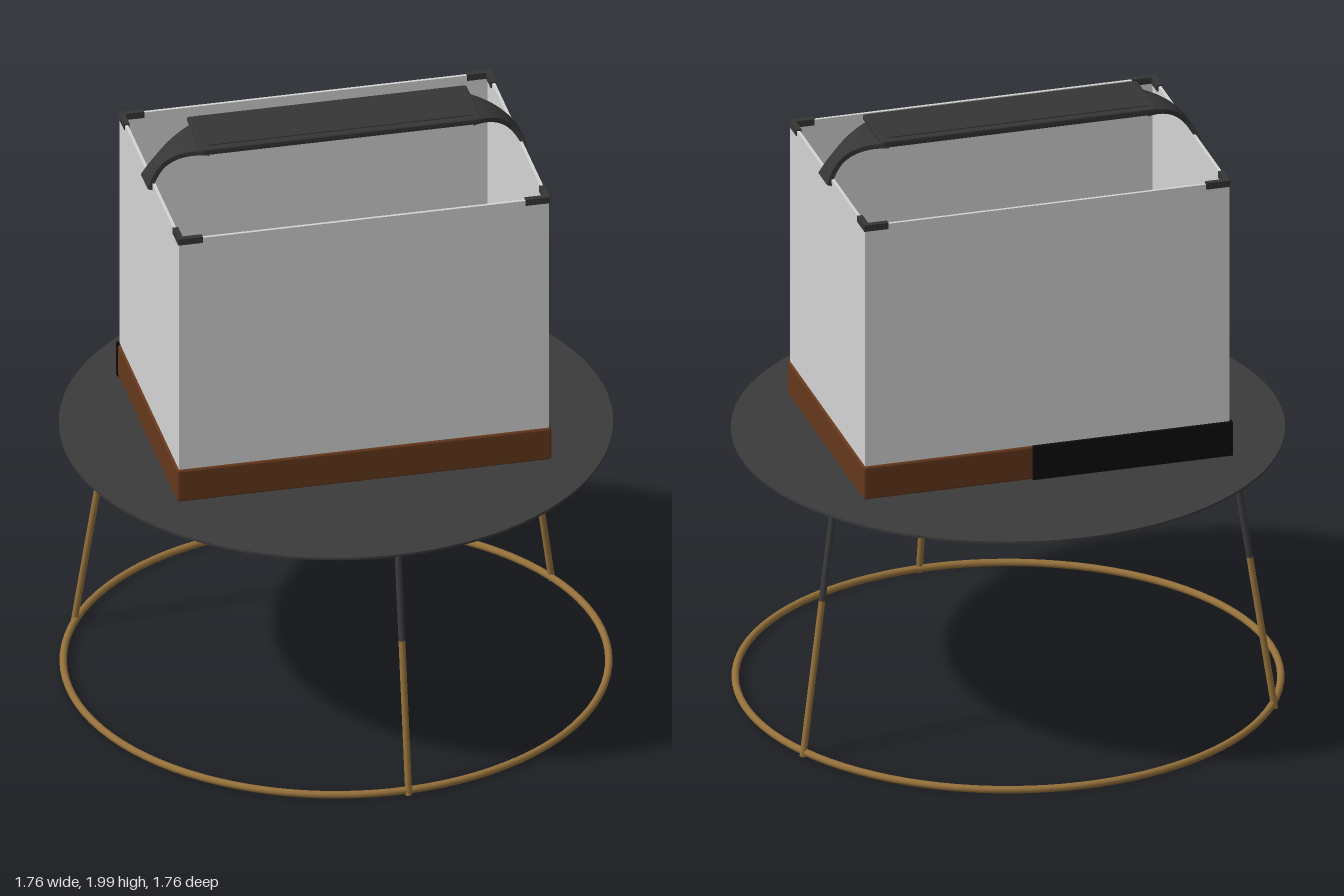
import * as THREE from 'three';
import { RoundedBoxGeometry } from 'three/addons/geometries/RoundedBoxGeometry.js';

const mat = (name, color, side = THREE.FrontSide) => {
  const m = new THREE.MeshStandardMaterial({ color, side });
  m.name = name;
  return m;
};

export function createModel() {
  const root = new THREE.Group();
  root.name = 'tankOnTable';
  const charcoal = mat('charcoal metal', 0x3b3b3b);
  const brass = mat('brass', 0x94703a);
  const wood = mat('brown wood', 0x65381c);
  const black = mat('black panel', 0x0c0c0c);
  const glass = mat('pale glass', 0xd4d4d4);
  const plastic = mat('dark plastic', 0x363636);
  const rock = mat('grey rock', 0x424445);
  const moss = mat('olive moss', 0x62663c);
  const stone = mat('dark stone', 0x303032);

  const add = (parent, name, geo, material, x = 0, y = 0, z = 0) => {
    const m = new THREE.Mesh(geo, material);
    m.name = name;
    m.position.set(x, y, z);
    parent.add(m);
    return m;
  };
  const box = (parent, name, w, h, d, material, x, y, z) =>
    add(parent, name, new THREE.BoxGeometry(w, h, d), material, x, y, z);

  // ---- Table: thin disc, two rings and three splayed two-tone legs
  const table = new THREE.Group();
  table.name = 'table';
  root.add(table);
  add(table, 'tableTop', new THREE.CylinderGeometry(0.88, 0.88, 0.008, 96), charcoal, 0, 0.889, 0);
  const ring = (name, radius, tube, y, material) => {
    const geo = new THREE.TorusGeometry(radius, tube, 12, 96).rotateX(Math.PI / 2);
    add(table, name, geo, material, 0, y, 0);
  };
  ring('upperRing', 0.73, 0.011, 0.866, charcoal);
  ring('floorRing', 0.866, 0.012, 0.021, brass);

  const rod = (name, a, b, material) => {
    const m = add(table, name, new THREE.CylinderGeometry(0.011, 0.011, a.distanceTo(b), 14), material);
    m.position.copy(a).lerp(b, 0.5);
    m.quaternion.setFromUnitVectors(new THREE.Vector3(0, 1, 0), b.clone().sub(a).normalize());
  };
  for (const deg of [68, 191, 315]) {
    const t = THREE.MathUtils.degToRad(deg);
    const at = (r, y) => new THREE.Vector3(r * Math.cos(t), y, r * Math.sin(t));
    const foot = at(0.873, 0.008), top = at(0.738, 0.866);
    const joint = foot.clone().lerp(top, 0.604);
    rod('lowerLeg', foot, joint, brass);
    rod('upperLeg', joint, top, charcoal);
  }

  // ---- Tank, turned on the table
  const tank = new THREE.Group();
  tank.name = 'tank';
  tank.position.set(-0.006, 0, -0.008);
  tank.rotation.y = 0.344;
  root.add(tank);
  const W = 1.206, D = 0.836, T = 0.01, top = 1.856;

  add(tank, 'woodenBase', new RoundedBoxGeometry(1.22, 0.115, 0.85, 2, 0.008), wood, 0, 0.9615, 0);
  box(tank, 'backPanel', 0.662, 0.117, 0.02, black, -0.281, 0.9615, -0.418);
  for (const sx of [-1, 1]) for (const sz of [-1, 1])
    add(tank, 'foot', new THREE.CylinderGeometry(0.025, 0.025, 0.014, 16), plastic, sx * 0.53, 0.899, sz * 0.34);

  // Glass walls and floor
  const wallH = top - 1.01, wallY = (top + 1.01) / 2;
  for (const s of [-1, 1]) {
    box(tank, 'longWall', W, wallH, T, glass, 0, wallY, s * (D - T) / 2);
    box(tank, 'shortWall', T, wallH, D - 2 * T, glass, s * (W - T) / 2, wallY, 0);
  }
  box(tank, 'tankFloor', W - 2 * T, 0.02, D - 2 * T, glass, 0, 1.025, 0);

  // L-shaped corner guards
  for (const sx of [-1, 1]) for (const sz of [-1, 1]) {
    box(tank, 'cornerGuard', 0.08, 0.022, 0.018, plastic, sx * (W / 2 - 0.037), 1.85, sz * (D / 2 - 0.006));
    box(tank, 'cornerGuard', 0.018, 0.022, 0.08, plastic, sx * (W / 2 - 0.006), 1.85, sz * (D / 2 - 0.037));
  }

  // ---- Bridge over the tank: flat bar with a lipped top and two curved, waisted arms
  const bridge = new THREE.Group();
  bridge.name = 'topBridge';
  tank.add(bridge);
  add(bridge, 'bar', new RoundedBoxGeometry(0.91, 0.018, 0.222, 2, 0.005), plastic, 0, 1.988, 0);
  box(bridge, 'barUnderside', 0.87, 0.014, 0.19, plastic, 0, 1.975, 0);
  box(bridge, 'barInset', 0.86, 0.004, 0.175, plastic, 0, 1.998, 0);

  const path = new THREE.QuadraticBezierCurve(
    new THREE.Vector2(0.43, 1.974), new THREE.Vector2(0.56, 1.962), new THREE.Vector2(0.612, 1.838));
  const armGeo = new THREE.BoxGeometry(1, 0.016, 1, 20, 1, 1);
  const p = armGeo.attributes.position;
  for (let i = 0; i < p.count; i++) {
    const u = p.getX(i) + 0.5, off = p.getY(i);
    const c = path.getPoint(u), t = path.getTangent(u);
    const width = 0.068 + 0.13 * Math.pow(Math.max(0, 1 - u / 0.7), 1.6) + 0.03 * Math.pow(Math.max(0, u - 0.65) / 0.35, 2);
    p.setXYZ(i, c.x - t.y * off, c.y + t.x * off, p.getZ(i) * width);
  }
  armGeo.computeVertexNormals();
  for (const turn of [0, Math.PI])
    add(bridge, 'bridgeArm', armGeo, plastic).rotation.y = turn;

  // ---- Mossy rock mound, from rings of an uneven outline
  const scape = new THREE.Group();
  scape.name = 'rockscape';
  scape.position.set(0, 1.035, 0.02);
  root.add(scape);
  const radii = [0.45, 0.37, 0.33, 0.34, 0.34, 0.38, 0.46, 0.46, 0.46, 0.48, 0.43, 0.36, 0.35, 0.37, 0.39, 0.46];
  const bump = (x, z) => Math.sin(x * 23 + z * 9) * Math.cos(z * 27 - x * 7) + 0.5 * Math.sin(x * 51) * Math.cos(z * 47);
  const seg = 96, rows = 16, pos = [], faces = [[], []];
  for (let i = 0; i <= rows; i++) for (let j = 0; j < seg; j++) {
    const s = (j / seg) * 16, k = Math.floor(s), f = s - k;
    const blend = f * f * (3 - 2 * f), t = 1 - i / rows;
    const r = THREE.MathUtils.lerp(radii[k % 16], radii[(k + 1) % 16], blend);
    const a = (j / seg) * Math.PI * 2;
    const spread = i ? t * (1 + 0.02 * Math.sin(a * 17 + i)) : 0.97;
    const x = Math.cos(a) * r * spread, z = Math.sin(a) * r * spread;
    pos.push(x, i ? 0.28 * Math.pow(1 - t * t, 0.6) + 0.02 * bump(x, z) : 0, z);
  }
  for (let i = 0; i < rows; i++) for (let j = 0; j < seg; j++) {
    const a = i * seg + j, b = i * seg + (j + 1) % seg, c = a + seg, d = b + seg;
    const x = pos[a * 3], z = pos[a * 3 + 2];
    const mossy = z > -0.06 + 0.05 * bump(x, z) || Math.hypot(x - 0.12, z + 0.24) < 0.04;
    faces[mossy ? 1 : 0].push(a, c, b, b, c, d);
  }
  const mound = new THREE.BufferGeometry();
  mound.setAttribute('position', new THREE.Float32BufferAttribute(pos, 3));
  mound.setIndex([...faces[0], ...faces[1]]);
  mound.addGroup(0, faces[0].length, 0);
  mound.addGroup(faces[0].length, faces[1].length, 1);
  mound.computeVertexNormals();
  add(scape, 'mound', mound, [rock, moss]);

  // Smooth stones resting on the mound: x, y, z, half sizes, turn
  const stones = [
    [-0.04, 0.24, 0.13, 0.31, 0.2, 0.145, 0.1],
    [0.16, 0.22, 0.05, 0.22, 0.2, 0.17, 0.5],
    [-0.31, 0.2, -0.1, 0.13, 0.16, 0.11, 0.3],
    [-0.08, 0.25, -0.13, 0.16, 0.18, 0.1, 0.2],
    [0.24, 0.2, -0.14, 0.13, 0.14, 0.09, -0.4],
  ];
  for (const [x, y, z, a, b, c, turn] of stones) {
    const geo = new THREE.SphereGeometry(1, 32, 20);
    const q = geo.attributes.position;
    for (let i = 0; i < q.count; i++) {
      const v = new THREE.Vector3().fromBufferAttribute(q, i);
      const k = 1 + 0.07 * Math.sin(v.x * 4 + x * 20) * Math.cos(v.z * 4 + v.y * 3);
      q.setXYZ(i, v.x * a * k, v.y * b * k, v.z * c * k);
    }
    geo.computeVertexNormals();
    add(scape, 'stone', geo, stone, x, y, z).rotation.y = turn;
  }
  return root;
}
